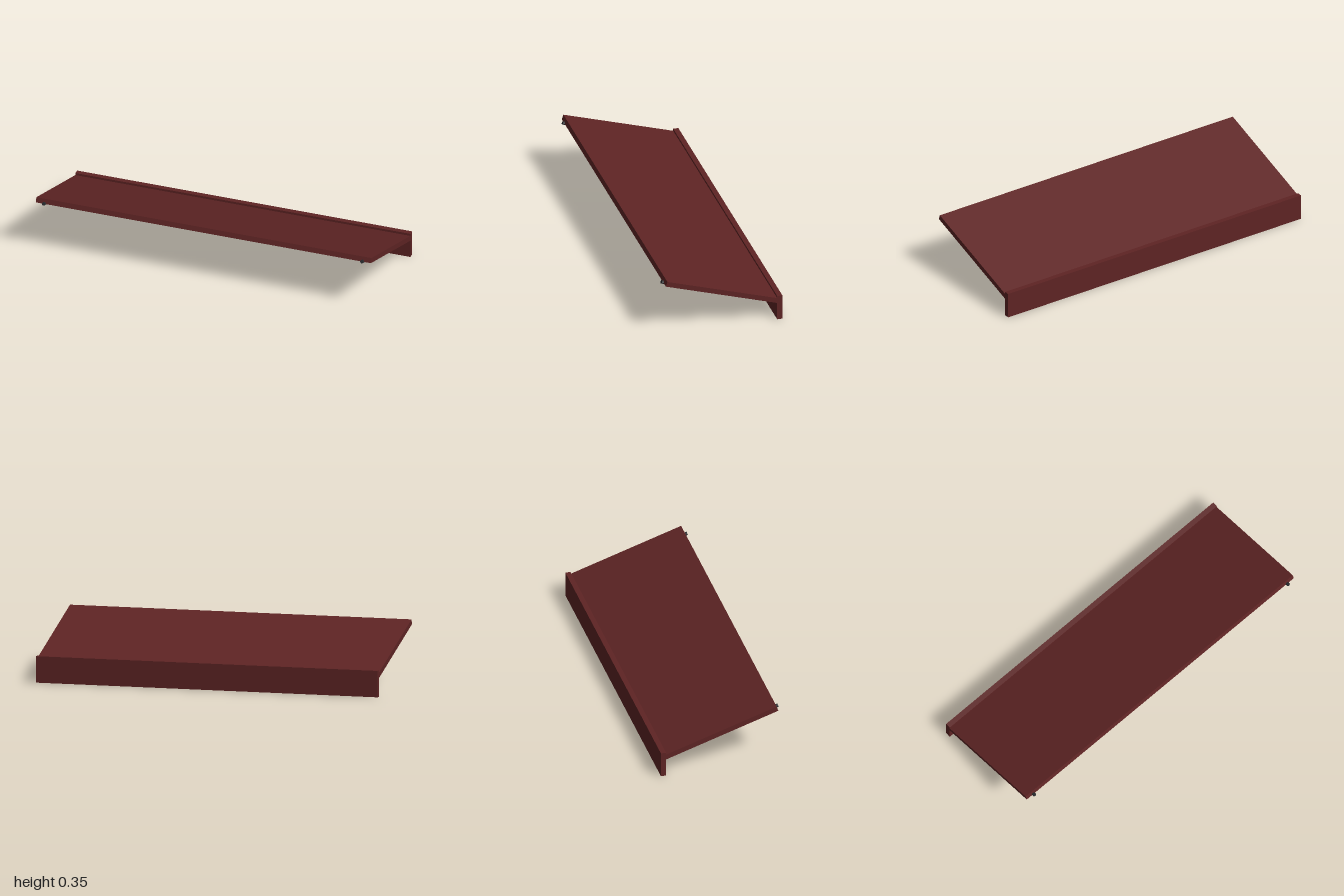
import * as THREE from 'three';

export function createModel() {
  const model = new THREE.Group();
  const red = new THREE.MeshStandardMaterial({ color: 0x5e2424 });
  red.name = 'dark red';
  const iron = new THREE.MeshStandardMaterial({ color: 0x2a2d30, flatShading: true });
  iron.name = 'dark iron';

  const add = (geometry, material, name, x, y, z, parent = model) => {
    const mesh = new THREE.Mesh(geometry, material);
    mesh.name = name;
    mesh.position.set(x, y, z);
    parent.add(mesh);
  };

  // Upright board along the back
  add(new THREE.BoxGeometry(2, 0.15, 0.03), red, 'backBoard', 0, 0.075, -0.335);

  // Tilted canopy, origin at the top front edge of the panel
  const canopy = new THREE.Group();
  canopy.name = 'canopy';
  canopy.position.set(0, 0.347, 0.325);
  canopy.rotation.x = -Math.atan2(0.21, 0.645);
  model.add(canopy);

  // Flat panel, its back edge tucked into the board
  const length = 0.69;
  add(new THREE.BoxGeometry(2, 0.03, length), red, 'panel', 0, -0.015, -length / 2, canopy);

  // Support rods let into the underside, projecting a little at the front
  const rod = new THREE.CylinderGeometry(0.01, 0.01, 0.706, 8);
  rod.rotateX(Math.PI / 2);
  for (const side of [-1, 1]) {
    add(rod, iron, side > 0 ? 'leftRod' : 'rightRod', side * 0.95, -0.028, 0.013 - 0.353, canopy);
  }
  return model;
}
